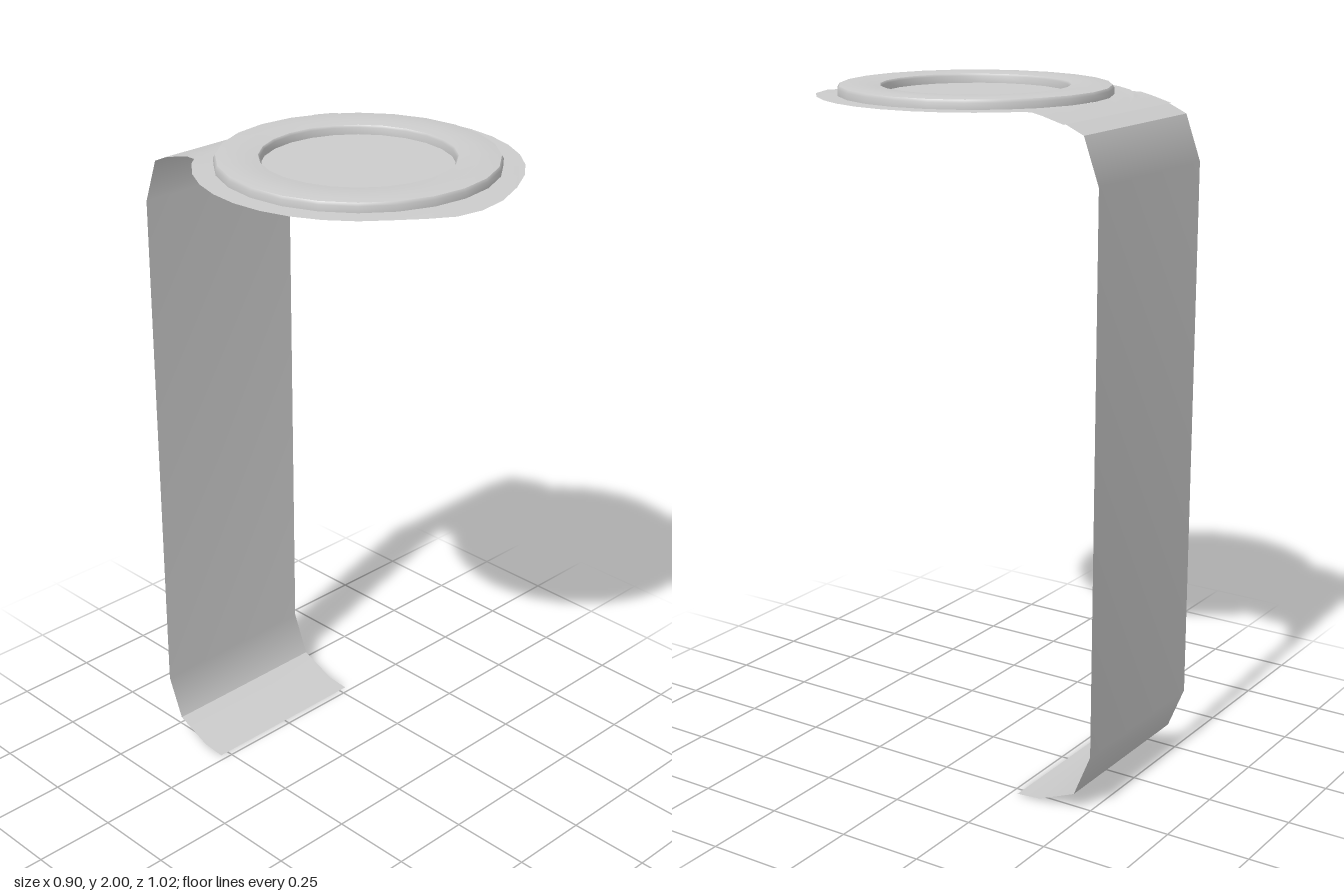
import * as THREE from 'three';

export function createModel() {
  const model = new THREE.Group();
  const grey = new THREE.MeshStandardMaterial({ color: 0xcccccc, side: THREE.DoubleSide });
  grey.name = 'light grey';

  const CZ = 0.06;       // centre of the round head
  const HEAD_Y = 1.97;   // level of the head sheet
  const HALF = 0.277;    // half width of the strap

  function add(name, geometry, z = 0) {
    const mesh = new THREE.Mesh(geometry, grey);
    mesh.name = name;
    mesh.position.z = z;
    model.add(mesh);
  }

  // Sheet made of rows of points; row(i, t) gives the point at fraction t across
  function sheet(rows, cols, point) {
    const g = new THREE.PlaneGeometry(1, 1, cols, rows);
    const p = g.attributes.position;
    for (let i = 0; i <= rows; i++) {
      for (let j = 0; j <= cols; j++) p.setXYZ(i * (cols + 1) + j, ...point(i, j / cols));
    }
    g.computeVertexNormals();
    return g;
  }

  // Bent strip following a [z, y] profile from top to bottom
  const strip = (profile) => sheet(profile.length - 1, 1, (i, t) =>
    [(t * 2 - 1) * HALF, profile[i][1], profile[i][0]]);

  // Height of the head sheet, which bends down at the back and front
  function headHeight(z) {
    if (z < -0.32) return HEAD_Y - 0.025 * (-0.32 - z) / 0.09;
    if (z > 0.46) return HEAD_Y - 0.017 * (z - 0.46) / 0.05;
    return HEAD_Y;
  }

  // Upright strap with its shoulder and forward-turned foot
  add('shoulder', strip([[-0.41, 1.945], [-0.465, 1.92]]));
  add('upright', strip([[-0.465, 1.92], [-0.512, 1.79], [-0.512, 0.18], [-0.46, 0.053]]));
  add('foot', strip([[-0.46, 0.053], [-0.345, 0.006], [-0.27, 0]]));

  // Neck joining the shoulder to the round rim
  add('neck', sheet(4, 12, (i, t) => {
    const x = (t * 2 - 1) * 0.287;
    const arc = CZ - Math.sqrt(0.446 ** 2 - x * x);
    const z = THREE.MathUtils.lerp(-0.41, arc, i / 4);
    return [x, headHeight(z), z];
  }));

  // Flat rim around the ring
  const rim = new THREE.RingGeometry(0.386, 0.45, 32, 4).rotateX(-Math.PI / 2);
  const p = rim.attributes.position;
  for (let i = 0; i < p.count; i++) p.setY(i, headHeight(p.getZ(i) + CZ));
  rim.computeVertexNormals();
  add('rim', rim, CZ);

  // Hollow raised ring, open below
  const lathe = (points) => new THREE.LatheGeometry(points.map(([r, y]) => new THREE.Vector2(r, y)), 24);
  add('ringOuterWall', lathe([[0.391, HEAD_Y], [0.391, 1.988], [0.386, 1.996]]), CZ);
  add('ringTop', lathe([[0.386, 1.996], [0.36, 1.999], [0.33, 2], [0.298, 1.999], [0.27, 1.996]]), CZ);
  add('ringInnerWall', lathe([[0.27, 1.996], [0.265, 1.99], [0.265, HEAD_Y]]), CZ);

  // Recessed disc inside the ring
  const disc = new THREE.CircleGeometry(0.265, 24).rotateX(-Math.PI / 2).translate(0, HEAD_Y, 0);
  add('centreDisc', disc, CZ);

  return model;
}
